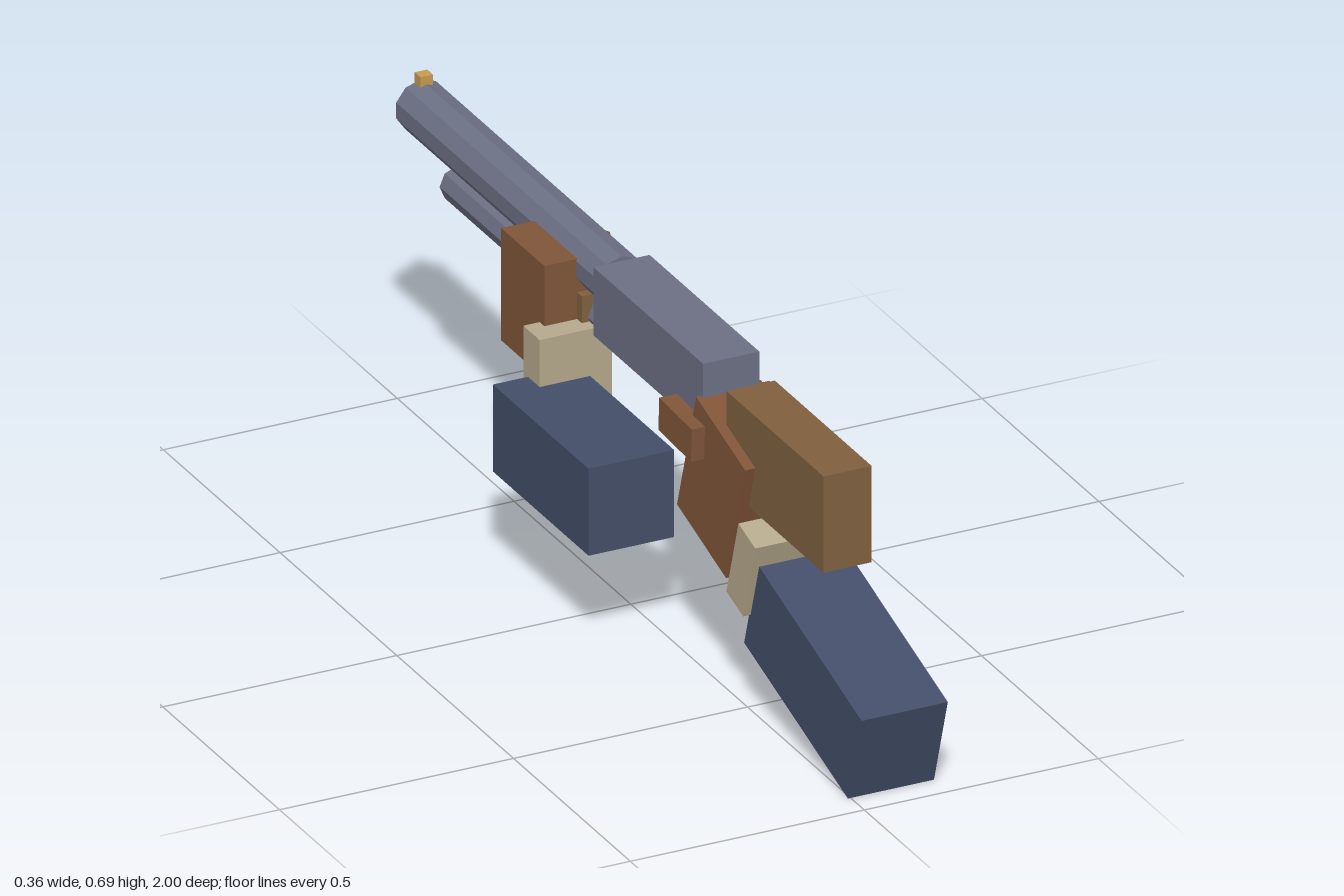
import * as THREE from 'three';

const COLORS = {
  metal: 0x6c7084, wood: 0x80603f, skin: 0x805539,
  cuff: 0xb5a88c, sleeve: 0x434e68, brass: 0xc79a50,
};
const TILT = 0.3; // lean of the rear hand and arm

export function createModel() {
  const group = new THREE.Group();
  const mats = {};
  for (const key in COLORS) {
    mats[key] = new THREE.MeshStandardMaterial({ color: COLORS[key], flatShading: true });
  }

  const add = (name, geometry, mat, x, y, z, tilt = 0) => {
    const mesh = new THREE.Mesh(geometry, mats[mat]);
    mesh.name = name;
    mesh.position.set(x, y, z);
    mesh.rotation.x = tilt;
    group.add(mesh);
  };

  // Upright box given by its extents
  const block = (name, mat, [x0, x1], [y0, y1], [z0, z1]) =>
    add(name, new THREE.BoxGeometry(x1 - x0, y1 - y0, z1 - z0), mat,
      (x0 + x1) / 2, (y0 + y1) / 2, (z0 + z1) / 2);

  // Leaning box given by x extents, centre in y and z, and size
  const leaning = (name, mat, [x0, x1], y, z, height, depth, tilt = TILT) =>
    add(name, new THREE.BoxGeometry(x1 - x0, height, depth), mat, (x0 + x1) / 2, y, z, tilt);

  // Faceted tube along z with a corner on top
  const tube = (name, r, sides, y, z0, z1) => {
    const geo = new THREE.CylinderGeometry(r, r, z1 - z0, sides).rotateX(Math.PI / 2);
    add(name, geo, 'metal', 0.05, y, (z0 + z1) / 2);
  };

  // Gun
  tube('barrel', 0.055, 10, 0.615, -1, -0.14);
  tube('magazineTube', 0.037, 8, 0.517, -0.845, -0.13);
  block('receiver', 'metal', [-0.01, 0.11], [0.515, 0.66], [-0.14, 0.33]);
  block('stock', 'wood', [0, 0.103], [0.43, 0.635], [0.41, 0.825]);
  block('foreEnd', 'wood', [0, 0.1], [0.467, 0.565], [-0.435, -0.21]);
  block('frontSight', 'brass', [0.037, 0.064], [0.66, 0.688], [-1, -0.975]);
  block('triggerGuard', 'metal', [0.02, 0.08], [0.42, 0.44], [0.165, 0.285]);
  leaning('grip', 'wood', [0.01, 0.09], 0.395, 0.367, 0.25, 0.152);

  // Front hand and arm
  block('frontPalm', 'skin', [-0.07, 0.065], [0.397, 0.636], [-0.415, -0.23]);
  leaning('frontFingers', 'skin', [0.06, 0.112], 0.592, -0.37, 0.05, 0.13, -0.25);
  block('frontCuff', 'cuff', [-0.105, 0.05], [0.342, 0.508], [-0.25, -0.18]);
  block('frontSleeve', 'sleeve', [-0.18, 0.003], [0.223, 0.408], [-0.23, 0.18]);

  // Rear hand and arm
  leaning('rearPalm', 'skin', [-0.022, 0.135], 0.425, 0.388, 0.277, 0.22);
  leaning('rearThumb', 'skin', [0.09, 0.137], 0.525, 0.32, 0.07, 0.1);
  leaning('triggerFinger', 'skin', [-0.05, -0.012], 0.511, 0.29, 0.07, 0.14, 0.05);
  leaning('rearCuff', 'cuff', [-0.022, 0.15], 0.305, 0.515, 0.175, 0.075);
  leaning('rearSleeve', 'sleeve', [-0.006, 0.178], 0.166, 0.749, 0.2, 0.465);

  return group;
}
